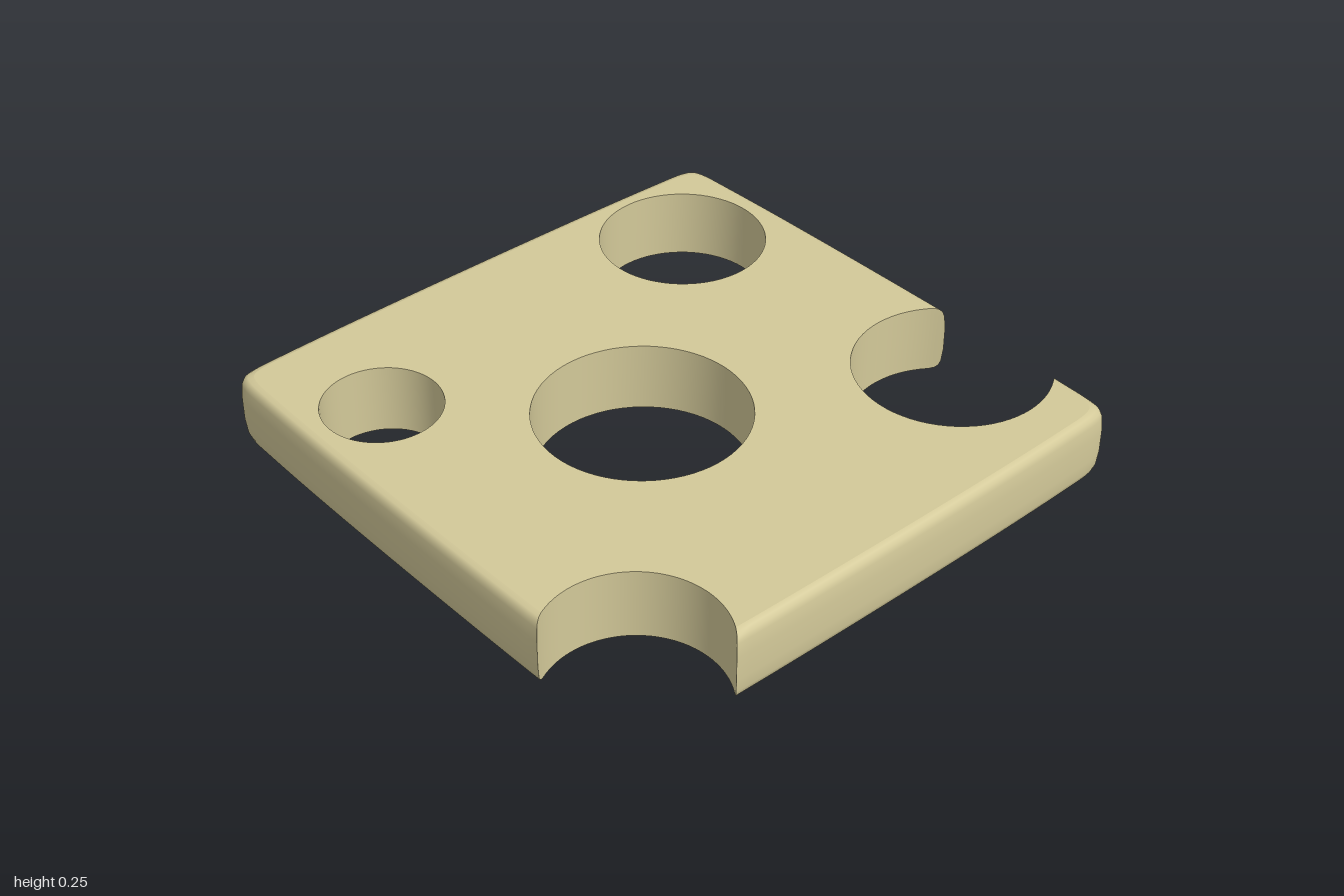
import * as THREE from 'three';

const HEIGHT = 0.245;
// rim section: [inset, y]
const lower = [[0.035, 0], [0.02, 0.004], [0.01, 0.013], [0.004, 0.032], [0, 0.08]];
const rim = [...lower, ...lower.map(([d, y]) => [d, HEIGHT - y]).reverse()];

// slightly bulging square in x, z; one eighth mirrored around
const eighth = [[1, 0], [0.997, 0.5], [0.99, 0.8], [0.984, 0.92], [0.975, 0.955]];
const quarter = [...eighth, [0.967, 0.967], ...eighth.slice(1).reverse().map(([x, z]) => [z, x])];
const corners = [];
for (let k = 0; k < 4; k++) {
  for (const [x, z] of quarter) {
    const [c, s] = [[1, 0], [0, 1], [-1, 0], [0, -1]][k];
    corners.push(new THREE.Vector3(x * c - z * s, 0, x * s + z * c));
  }
}
const border = new THREE.CatmullRomCurve3(corners, true, 'centripetal');
const borderPoint = (u, inset) => {
  const p = border.getPoint(((u % 1) + 1) % 1).multiplyScalar(1 - inset);
  return [p.x, p.z];
};

// round bites cut into the border; u lies inside the bite, from and to outside it
const sideBite = { x: 0.775, z: 0.495, r: 0.325, from: 0, u: 1 / corners.length, to: 0.125 };
const cornerBite = { x: -0.835, z: 0.81, r: 0.285, from: 0.25, u: 0.375, to: 0.5 };
const holes = [
  { name: 'centreHole', x: -0.13, z: 0.026, r: 0.351 },
  { name: 'backLeftHole', x: 0.628, z: -0.64, r: 0.287 },
  { name: 'backRightHole', x: -0.72, z: -0.538, r: 0.197 },
];

// where the border enters or leaves a bite
function crossing(bite, inside, outside, inset) {
  for (let i = 0; i < 30; i++) {
    const mid = (inside + outside) / 2;
    const [x, z] = borderPoint(mid, inset);
    if (Math.hypot(x - bite.x, z - bite.z) < bite.r) inside = mid;
    else outside = mid;
  }
  return outside;
}

function sample(n, fn) {
  return Array.from({ length: n + 1 }, (_, i) => fn(i / n));
}

function circleArc(c, a0, a1, n) {
  return sample(n, t => {
    const a = a0 + (a1 - a0) * t;
    return [c.x + c.r * Math.cos(a), c.z + c.r * Math.sin(a)];
  });
}

function biteArc(bite, u0, u1, inset) {
  const [a0, a1] = [u0, u1].map(u => {
    const [x, z] = borderPoint(u, inset);
    return Math.atan2(z - bite.z, x - bite.x);
  });
  return circleArc(bite, a0, a1 > a0 ? a1 - 2 * Math.PI : a1, 48);
}

// the outline at one inset, in its four pieces
function outline(inset) {
  const s0 = crossing(sideBite, sideBite.u, sideBite.from, inset);
  const s1 = crossing(sideBite, sideBite.u, sideBite.to, inset);
  const c0 = crossing(cornerBite, cornerBite.u, cornerBite.from, inset);
  const c1 = crossing(cornerBite, cornerBite.u, cornerBite.to, inset);
  const run = (a, b, n) => sample(n, t => borderPoint(a + (b - a) * t, inset));
  return {
    sideBiteWall: biteArc(sideBite, s0, s1, inset),
    frontRim: run(s1, c0, 60),
    cornerBiteWall: biteArc(cornerBite, c0, c1, inset),
    backRim: run(c1, 1 + s0, 160),
  };
}

// skin over rows of [x, z] points, each row at its own height
function wall(rows, heights) {
  const n = rows[0].length;
  const pos = [], index = [];
  rows.forEach((row, j) => row.forEach(([x, z], i) => {
    pos.push(x, heights[j], z);
    if (j + 1 < rows.length && i + 1 < n) {
      const a = j * n + i, b = a + n;
      index.push(a, b, a + 1, b, b + 1, a + 1);
    }
  }));
  const g = new THREE.BufferGeometry();
  g.setAttribute('position', new THREE.Float32BufferAttribute(pos, 3));
  g.setIndex(index);
  g.computeVertexNormals();
  return g;
}

export function createModel() {
  const group = new THREE.Group();
  group.name = 'piercedSlab';
  const material = new THREE.MeshStandardMaterial({ color: 0xd3c999 });
  material.name = 'pale straw';
  const add = (name, geometry) => {
    const mesh = new THREE.Mesh(geometry, material);
    mesh.name = name;
    group.add(mesh);
    return mesh;
  };

  // rounded rim and the walls of the bites
  const layers = rim.map(([inset]) => outline(inset));
  const heights = rim.map(([, y]) => y);
  for (const name of Object.keys(layers[0])) {
    add(name, wall(layers.map(l => l[name]), heights));
  }

  // straight walls of the through holes
  const rings = holes.map(h => circleArc(h, 2 * Math.PI, 0, 72));
  holes.forEach((h, i) => add(h.name, wall([rings[i], rings[i]], [0, HEIGHT])));

  // flat faces
  const loop = Object.values(layers[0]).flatMap(piece => piece.slice(0, -1));
  const face = sign => {
    const points = list => list.map(([x, z]) => new THREE.Vector2(x, sign * z));
    const shape = new THREE.Shape(points(loop));
    shape.holes = rings.map(r => new THREE.Path(points(r.slice(0, -1))));
    return new THREE.ShapeGeometry(shape).rotateX(sign * Math.PI / 2);
  };
  add('topFace', face(-1)).position.y = HEIGHT;
  add('bottomFace', face(1));
  return group;
}
